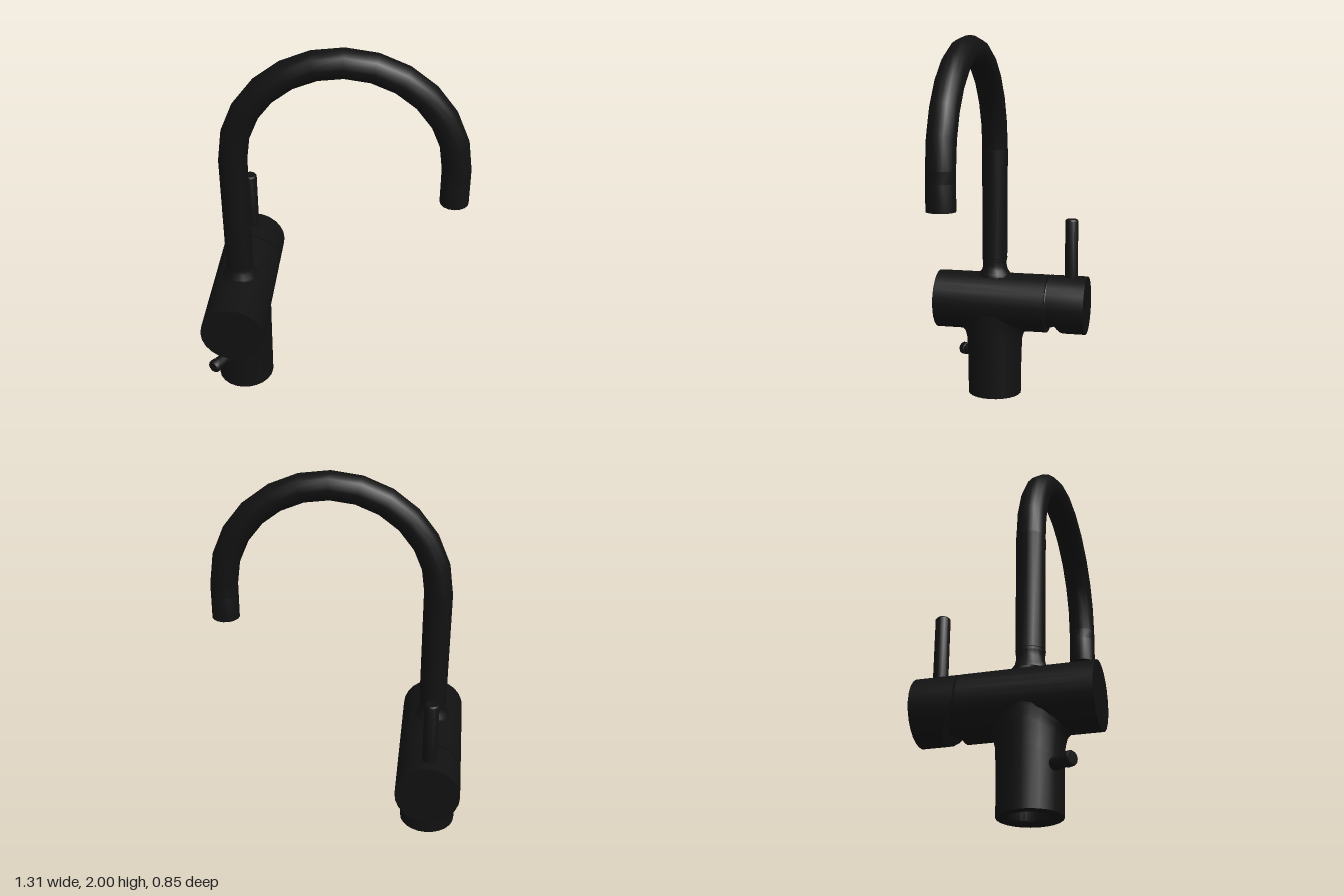
import * as THREE from 'three';
import { toCreasedNormals } from 'three/addons/utils/BufferGeometryUtils.js';

const X = -0.495;        // axis shared by the post, body and spout
const Z = 0.1;           // depth of the post and spout
const BODY_Y = 0.532;
const BODY_R = 0.162;

export function createModel() {
  const model = new THREE.Group();
  model.name = 'tap';
  const black = new THREE.MeshStandardMaterial({ color: 0x111111, side: THREE.DoubleSide });

  const add = (name, geometry, x = 0, y = 0, z = 0, crease = 0.7) => {
    const mesh = new THREE.Mesh(toCreasedNormals(geometry, crease), black);
    mesh.name = name;
    mesh.position.set(x, y, z);
    model.add(mesh);
    return mesh;
  };
  const lathe = (points, sides = 16) =>
    new THREE.LatheGeometry(points.map(([r, y]) => new THREE.Vector2(r, y)), sides);
  // Cylinder along z, with its wide end rTop towards the front
  const alongZ = (rFront, rBack, length, rows = 1) =>
    new THREE.CylinderGeometry(rFront, rBack, length, 24, rows).rotateX(Math.PI / 2);
  const move = (geometry, rule) => {
    const pos = geometry.attributes.position;
    const v = new THREE.Vector3();
    for (let i = 0; i < pos.count; i++) {
      rule(v.fromBufferAttribute(pos, i));
      pos.setXYZ(i, v.x, v.y, v.z);
    }
    return geometry;
  };

  // Post: its top follows the underside of the body and flares into it
  const rows = [0, 0.6, 0.85, 0.95, 1];
  const flare = [0, 0, 0.004, 0.014, 0.034];
  const post = move(new THREE.CylinderGeometry(1, 1, 4, 24, 4, true), (v) => {
    const row = Math.round(v.y + 2);
    const r = 0.149 + 0.004 * rows[row];
    const nx = v.x, nz = v.z;
    v.x = nx * r;
    v.z = nz * (r + flare[row]);
    const top = BODY_Y - Math.sqrt(BODY_R ** 2 - v.x ** 2) + 0.004;
    v.y = rows[row] * top;
  });
  add('post', post, X, 0, Z);

  // Hollow underside of the post
  add('postBase', lathe([[0.149, 0], [0.1, 0], [0.09, 0.012], [0.09, 0.3], [0, 0.3]], 24), X, 0, Z);

  // Horizontal body
  add('body', alongZ(BODY_R, BODY_R, 0.628), X, BODY_Y, 0.108);

  // Tapered core seen in the gap and under the handle
  add('cartridge', alongZ(0.145, 0.105, 0.12), X, BODY_Y, -0.25);

  // Handle hub, its lower front cut back so that it can tilt
  const back = -0.424, front = -0.215, length = front - back;
  const hub = move(alongZ(BODY_R, BODY_R, length, 2), (v) => {
    const cut = Math.max(0, -0.01 - v.y) * 0.55;
    const t = v.z / length + 0.5;
    v.z = back + t * (length - cut);
  });
  add('handleHub', hub, X, BODY_Y, 0);

  // Upright lever
  add('handleLever', lathe([[0.036, 0.64], [0.036, 1.005], [0.03, 1.013], [0, 1.013]], 12), X, 0, -0.334);

  // Collar and straight part of the spout
  add('spoutCollar', lathe([[0.09, 0.68], [0.086, 0.695], [0.072, 0.715], [0.067, 0.74],
    [0.067, 0.775], [0.071, 0.785]]), X, 0, Z);
  add('spoutStem', new THREE.CylinderGeometry(0.072, 0.07, 0.62, 16, 1, true), X, 1.08, Z);

  // Arched part of the spout
  add('spoutArch', new THREE.TorusGeometry(0.54, 0.071, 16, 12, Math.PI), 0.045, 1.39, Z);
  add('spoutDrop', new THREE.CylinderGeometry(0.071, 0.071, 0.06, 16, 1, true), 0.585, 1.36, Z);

  // Outlet with a recessed mouth
  add('outlet', lathe([[0, 1.225], [0.055, 1.225], [0.055, 1.2], [0.071, 1.2],
    [0.071, 1.335], [0.069, 1.345]]), 0.585, 0, Z);

  // Side valve, pointing out from the post at an angle
  const valve = add('sideValve', lathe([[0.03, 0.12], [0.03, 0.225], [0.035, 0.228],
    [0.035, 0.255], [0.03, 0.262], [0, 0.262]], 12), X, 0.206, Z);
  valve.quaternion.setFromUnitVectors(new THREE.Vector3(0, 1, 0),
    new THREE.Vector3(-0.52, 0, 0.854).normalize());

  return model;
}
